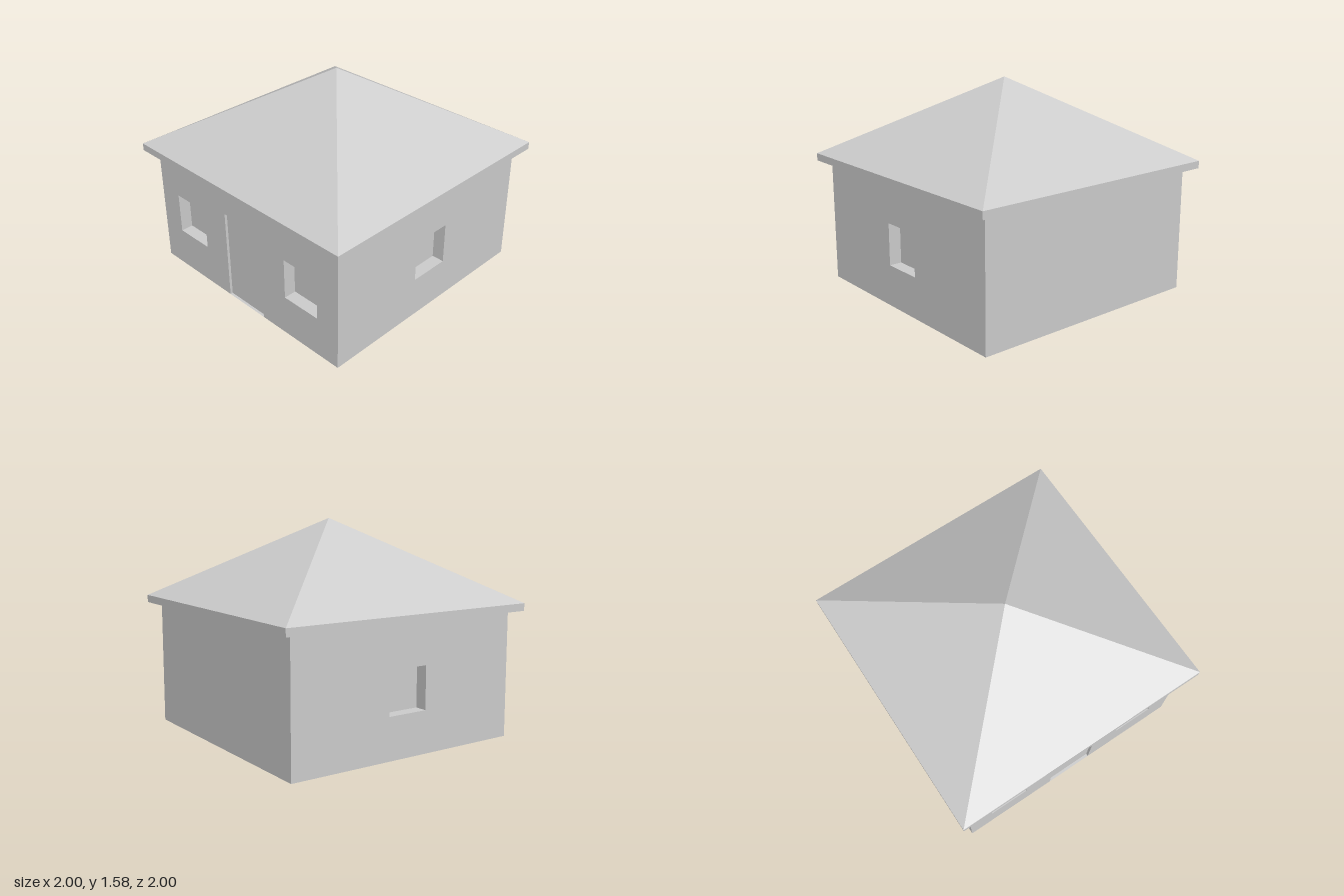
import * as THREE from 'three';

const HALF = 0.92;        // half width of the walls
const WALL_TOP = 0.925;
const EAVE_TOP = 0.98;
const APEX = 1.575;

const material = new THREE.MeshStandardMaterial({ color: 0xcccccc, flatShading: true });

function mesh(name, geometry) {
  const m = new THREE.Mesh(geometry, material);
  m.name = name;
  return m;
}

// Box seen from the inside, without its +z face: the lining of an opening
function recess(name, { x, y, w, h, depth }) {
  const g = new THREE.BoxGeometry(w, h, depth);
  const index = Array.from(g.index.array);
  index.splice(24, 6);
  g.setIndex(index.reverse());
  g.clearGroups();
  g.computeVertexNormals();
  g.translate(x, y + h / 2, -depth / 2);
  return mesh(name, g);
}

// One outer wall in its own plane, with a door notch and window holes
function wall(name, windows, door) {
  const group = new THREE.Group();
  group.name = name;
  const shape = new THREE.Shape().moveTo(-HALF, 0);
  if (door) {
    const l = door.x - door.w / 2, r = door.x + door.w / 2;
    shape.lineTo(l, 0).lineTo(l, door.h).lineTo(r, door.h).lineTo(r, 0);
    group.add(recess('door', door));
  }
  shape.lineTo(HALF, 0).lineTo(HALF, WALL_TOP).lineTo(-HALF, WALL_TOP).closePath();
  for (const o of windows) {
    const l = o.x - o.w / 2, r = o.x + o.w / 2, t = o.y + o.h;
    shape.holes.push(new THREE.Path().moveTo(l, o.y).lineTo(l, t).lineTo(r, t).lineTo(r, o.y).closePath());
    group.add(recess('window', o));
  }
  group.add(mesh(name + 'Surface', new THREE.ShapeGeometry(shape)));
  return group;
}

export function createModel() {
  const house = new THREE.Group();
  house.name = 'house';

  const windowAt = (x) => ({ x, y: 0.305, w: 0.31, h: 0.31, depth: 0.093 });
  const door = { x: 0, y: 0, w: 0.37, h: 0.7, depth: 0.02 };

  // Walls, each turned to face outwards
  const walls = [
    wall('frontWall', [windowAt(-0.575), windowAt(0.575)], door),
    wall('leftWall', [windowAt(0)]),
    wall('backWall', []),
    wall('rightWall', [windowAt(0)]),
  ];
  walls.forEach((w, i) => {
    const a = (i * Math.PI) / 2;
    w.rotation.y = a;
    w.position.set(Math.sin(a) * HALF, 0, Math.cos(a) * HALF);
    house.add(w);
  });

  // Underside of the floor
  house.add(mesh('floor', new THREE.PlaneGeometry(2 * HALF, 2 * HALF).rotateX(Math.PI / 2)));

  // Eaves slab and pyramid roof
  const slab = EAVE_TOP - WALL_TOP;
  house.add(mesh('eaves', new THREE.BoxGeometry(2, slab, 2).translate(0, WALL_TOP + slab / 2, 0)));
  const rise = APEX - EAVE_TOP;
  house.add(mesh('roof', new THREE.ConeGeometry(Math.SQRT2, rise, 4, 1, true)
    .rotateY(Math.PI / 4).translate(0, EAVE_TOP + rise / 2, 0)));

  return house;
}
